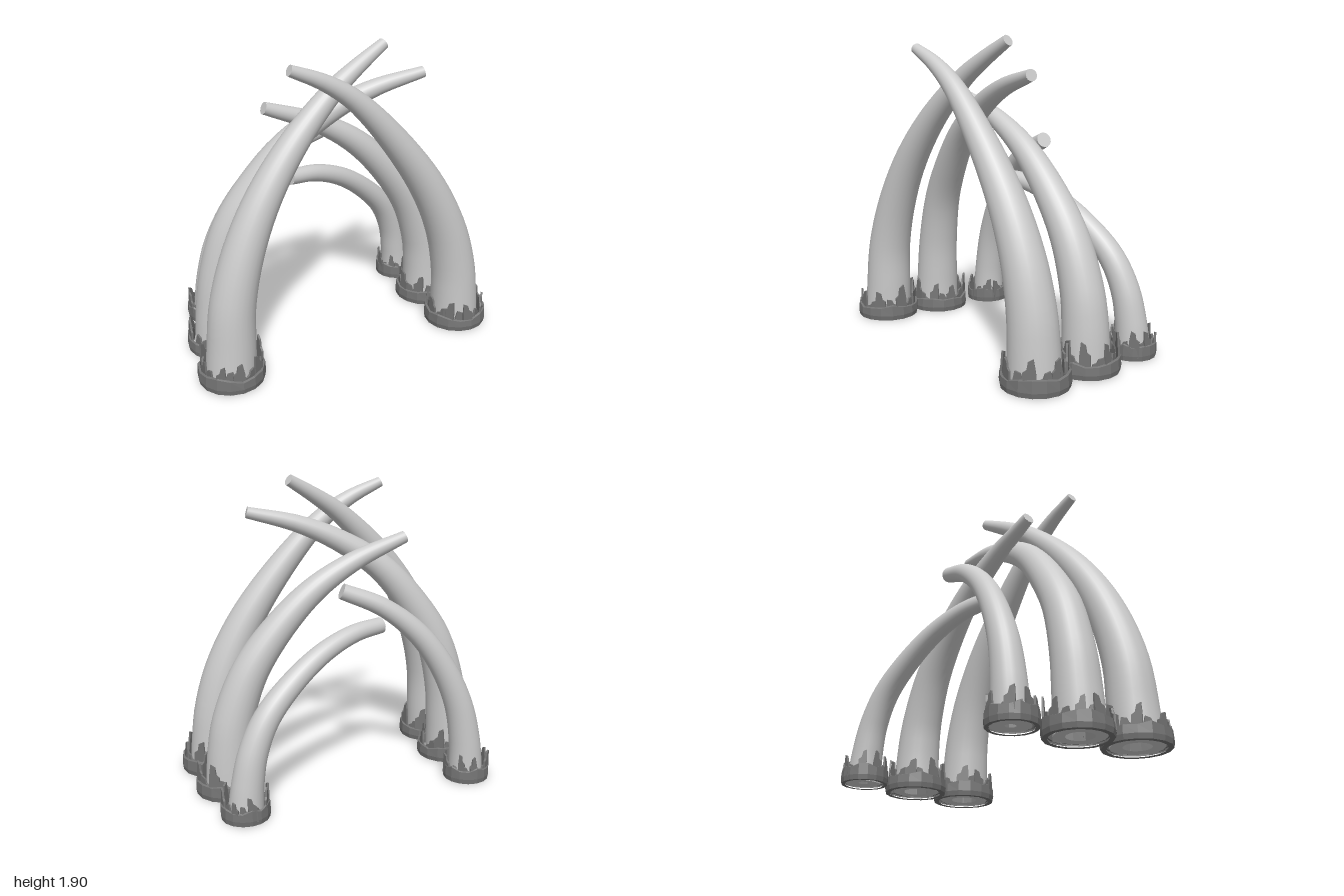
import * as THREE from 'three';
import { mergeGeometries } from 'three/addons/utils/BufferGeometryUtils.js';

const ivory = new THREE.MeshStandardMaterial({ color: 0xcccccc });
const iron = new THREE.MeshStandardMaterial({ color: 0x747474, flatShading: true });

// Each tusk: collar radius R and centre x/z, radii at base and tip, taper power, z at base and tip, centre line in x/y
const TUSKS = [
  { name: 'frontRightTusk', R: 0.204, x: -0.796, z: 0.355, r0: 0.153, r1: 0.035, p: 1.3, z0: 0.355, z1: 0.165,
    path: [[-0.8, 0.01], [-0.79, 0.2], [-0.77, 0.48], [-0.69, 0.78], [-0.55, 1.08], [-0.34, 1.37], [-0.06, 1.64], [0.1, 1.75], [0.305, 1.87]] },
  { name: 'middleRightTusk', R: 0.2, x: -0.74, z: -0.025, r0: 0.145, r1: 0.035, p: 1.3, z0: -0.02, z1: 0.205,
    path: [[-0.75, 0.01], [-0.74, 0.25], [-0.715, 0.5], [-0.635, 0.8], [-0.49, 1.05], [-0.28, 1.3], [-0.02, 1.48], [0.25, 1.6], [0.565, 1.68]] },
  { name: 'backRightTusk', R: 0.147, x: -0.67, z: -0.412, r0: 0.11, r1: 0.048, p: 0.9, z0: -0.418, z1: -0.265,
    path: [[-0.665, 0.01], [-0.65, 0.25], [-0.6, 0.5], [-0.49, 0.75], [-0.34, 0.96], [-0.12, 1.14], [0.13, 1.25]] },
  { name: 'frontLeftTusk', R: 0.204, x: 0.796, z: 0.355, r0: 0.155, r1: 0.033, p: 1.3, z0: 0.355, z1: 0.35,
    path: [[0.79, 0.01], [0.78, 0.2], [0.76, 0.4], [0.69, 0.67], [0.54, 0.98], [0.29, 1.32], [0.02, 1.6], [-0.18, 1.73], [-0.39, 1.82]] },
  { name: 'middleLeftTusk', R: 0.2, x: 0.797, z: -0.03, r0: 0.143, r1: 0.038, p: 1.3, z0: -0.03, z1: -0.035,
    path: [[0.79, 0.01], [0.78, 0.25], [0.75, 0.45], [0.64, 0.74], [0.46, 0.99], [0.22, 1.22], [-0.05, 1.38], [-0.39, 1.51]] },
  { name: 'backLeftTusk', R: 0.147, x: 0.793, z: -0.412, r0: 0.108, r1: 0.05, p: 0.75, z0: -0.418, z1: -0.165,
    path: [[0.795, 0.01], [0.775, 0.2], [0.735, 0.38], [0.64, 0.57], [0.46, 0.75], [0.25, 0.89], [0.03, 0.97], [-0.17, 0.99]] },
];

function seeded(seed) {
  return () => {
    seed = (seed * 16807) % 2147483647;
    return seed / 2147483647;
  };
}

// Flat end face, turned to face along a direction
function endFace(geometry, point, direction) {
  geometry.applyQuaternion(new THREE.Quaternion().setFromUnitVectors(new THREE.Vector3(0, 0, 1), direction));
  return geometry.translate(point.x, point.y, point.z);
}

// Curved tube whose rings shrink towards a flat-cut tip; the root has a hole in its underside
function tuskGeometry({ R, r0, r1, p, z0, z1, path }) {
  const [xa, xb] = [path[0][0], path[path.length - 1][0]];
  const curve = new THREE.CatmullRomCurve3(path.map(([x, y]) =>
    new THREE.Vector3(x, y, z0 + (z1 - z0) * (x - xa) / (xb - xa))));
  const rings = 32, sides = 24;
  const tube = new THREE.TubeGeometry(curve, rings, 1, sides);
  const pos = tube.attributes.position, v = new THREE.Vector3();
  for (let i = 0; i <= rings; i++) {
    const t = i / rings, centre = curve.getPointAt(t);
    const radius = r0 + (r1 - r0) * Math.pow(t, p);
    for (let j = 0; j <= sides; j++) {
      const k = i * (sides + 1) + j;
      v.fromBufferAttribute(pos, k).sub(centre).multiplyScalar(radius).add(centre);
      pos.setXYZ(k, v.x, v.y, v.z);
    }
  }
  const hole = R > 0.17 ? 0.4 * R : 0.2 * R;
  return mergeGeometries([
    tube,
    endFace(new THREE.RingGeometry(hole, r0, sides), curve.getPointAt(0), new THREE.Vector3(0, -1, 0)),
    endFace(new THREE.CircleGeometry(r1, sides), curve.getPointAt(1), curve.getTangentAt(1)),
  ]);
}

// Thin shell around the root with an inward lip below and an uneven rim
function collarGeometry(R, rand) {
  const profile = [[0.82 * R, 0], [0.97 * R, 0], [R, 0.03], [0.98 * R, 0.085], [0.92 * R, 0.09], [0.91 * R, 0.01]];
  const segments = 16;
  const ring = new THREE.LatheGeometry(profile.map(([x, y]) => new THREE.Vector2(x, y)), segments);
  const pos = ring.attributes.position;
  for (let s = 0; s < segments; s++) {
    const lift = (rand() - 0.5) * 0.03;
    for (const k of s === 0 ? [0, segments] : [s]) {
      for (const row of [3, 4]) {
        const i = k * profile.length + row;
        pos.setY(i, pos.getY(i) + lift);
      }
    }
  }
  return ring;
}

// Torn strip of plate: straight sides and a slanted, broken top
function shardGeometry(width, height, mirror) {
  const w = width / 2 * mirror;
  const points = [[-w, 0], [w, 0], [w, height * 0.62], [w * 0.35, height * 0.7], [w * 0.1, height * 0.92], [-w * 0.75, height], [-w, height * 0.6]]
    .map(([x, y]) => new THREE.Vector2(x, y));
  return new THREE.ExtrudeGeometry(new THREE.Shape(points), { depth: 0.012, bevelEnabled: false });
}

export function createModel() {
  const model = new THREE.Group();
  model.name = 'tuskArch';
  TUSKS.forEach((t, n) => {
    const group = new THREE.Group();
    group.name = t.name;
    const tusk = new THREE.Mesh(tuskGeometry(t), ivory);
    tusk.name = 'tusk';
    group.add(tusk);

    // Collar with an inner crown of torn shards, tall and short in turn
    const rand = seeded(1234 + n * 77);
    const base = new THREE.Group();
    base.name = 'base';
    base.position.set(t.x, 0, t.z);
    const collar = new THREE.Mesh(collarGeometry(t.R, rand), iron);
    collar.name = 'collar';
    base.add(collar);
    const count = 16, scale = t.R / 0.2;
    for (let i = 0; i < count; i++) {
      const tall = i % 2 === 0;
      const height = (tall ? 0.15 + rand() * 0.06 : 0.1 + rand() * 0.02) * (0.3 + 0.7 * scale);
      const width = (tall ? 0.055 + rand() * 0.03 : 0.075) * scale;
      const shard = new THREE.Mesh(shardGeometry(width, height, rand() < 0.5 ? -1 : 1), iron);
      shard.name = 'shard';
      shard.position.set(0, 0.02, t.R * (tall ? 0.83 + rand() * 0.05 : 0.81));
      shard.rotation.set(-0.06 + rand() * 0.08, (rand() - 0.5) * 0.4, (rand() - 0.5) * 0.2);
      const pivot = new THREE.Group();
      pivot.name = 'shardPivot';
      pivot.rotation.y = (i + (rand() - 0.5) * 0.5) / count * Math.PI * 2;
      pivot.add(shard);
      base.add(pivot);
    }
    group.add(base);
    model.add(group);
  });
  return model;
}
